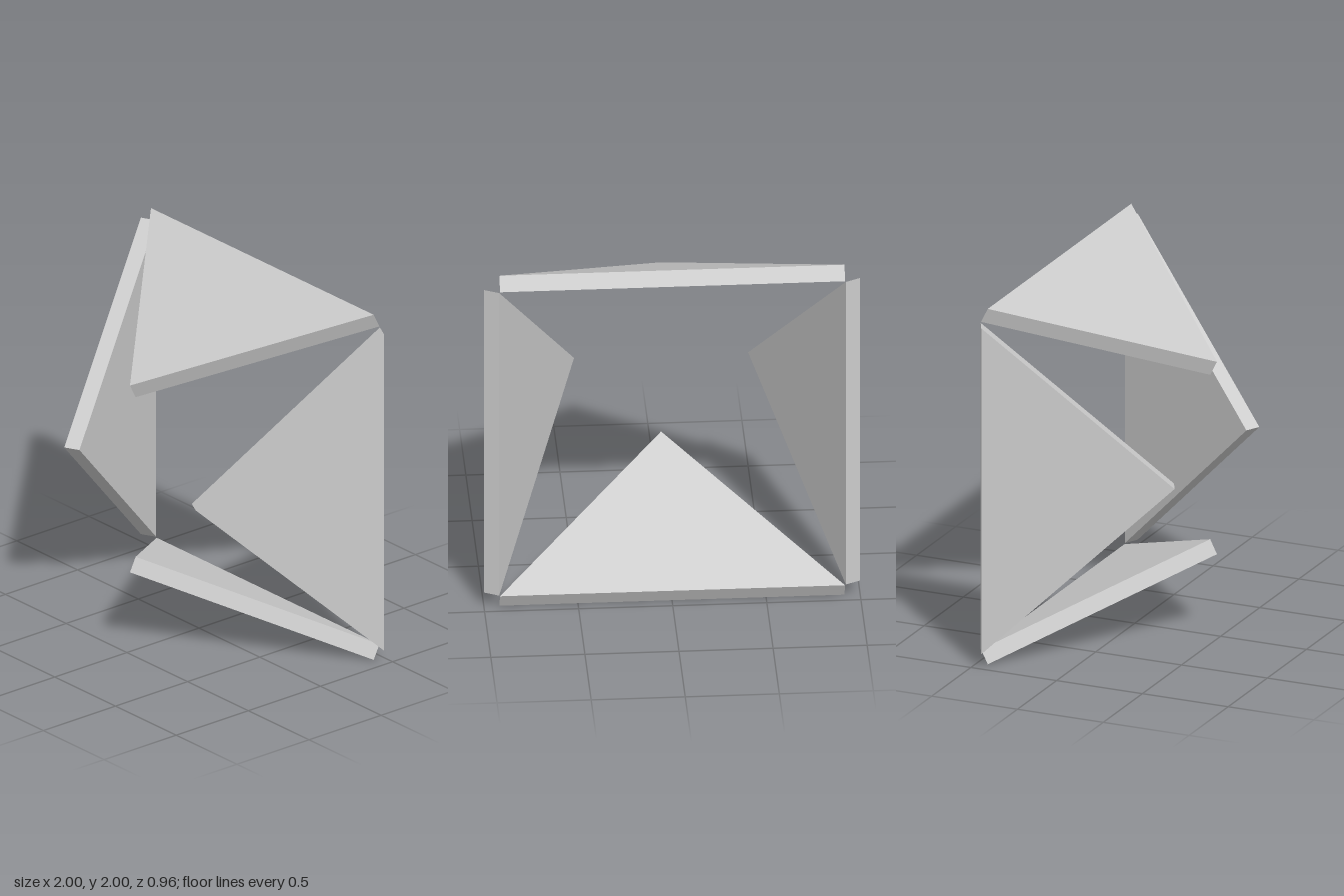
import * as THREE from 'three';

const HALF_BASE = 0.917; // half the length of a panel's rear edge
const SLOPE = 1.026;     // rear edge to front tip
const THICKNESS = 0.088;

export function createModel() {
  const model = new THREE.Group();
  model.name = 'triangularPanelFrame';

  const material = new THREE.MeshStandardMaterial({ color: 0xcccccc, flatShading: true });

  // Flat triangular slab, rear edge on y = 0 and tip at the top
  const triangle = new THREE.Shape([
    new THREE.Vector2(-HALF_BASE, 0),
    new THREE.Vector2(HALF_BASE, 0),
    new THREE.Vector2(0, SLOPE),
  ]);
  const panel = new THREE.ExtrudeGeometry(triangle, { depth: THICKNESS, bevelEnabled: false });

  // Lean the slab so its tip points forward and inward (1 in for 2 forward)
  panel.rotateX(Math.atan2(2, -1));
  panel.translate(0, 1, -0.439);

  // Four panels around the central z axis
  ['topPanel', 'rightPanel', 'bottomPanel', 'leftPanel'].forEach((name, i) => {
    const mesh = new THREE.Mesh(panel, material);
    mesh.name = name;
    mesh.position.y = 1;
    mesh.rotation.z = i * Math.PI / 2;
    model.add(mesh);
  });

  return model;
}
